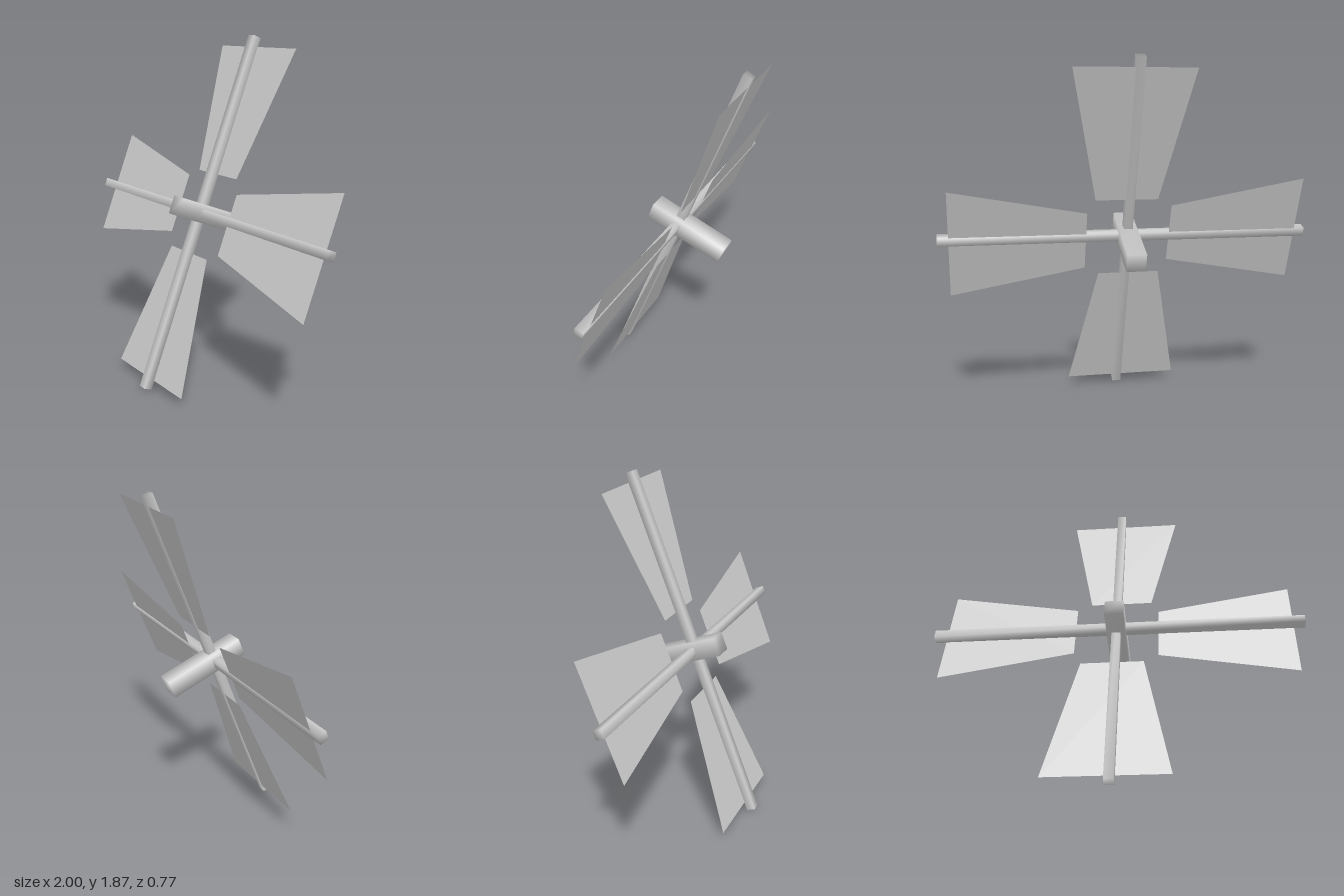
import * as THREE from 'three';
import { mergeVertices } from 'three/addons/utils/BufferGeometryUtils.js';

const TILT = THREE.MathUtils.degToRad(-21.3);

// Box whose corners share averaged normals, for soft shading
function softBox(w, h, d) {
  const box = new THREE.BoxGeometry(w, h, d);
  box.deleteAttribute('normal');
  box.deleteAttribute('uv');
  const geometry = mergeVertices(box);
  geometry.computeVertexNormals();
  return geometry;
}

export function createModel() {
  const grey = new THREE.MeshStandardMaterial({ color: 0xcccccc });
  const sheet = new THREE.MeshStandardMaterial({ color: 0xcccccc, side: THREE.DoubleSide });

  const model = new THREE.Group();
  model.name = 'windmillRotor';
  const rotor = new THREE.Group();
  rotor.name = 'rotor';
  rotor.position.y = 0.934;
  rotor.rotation.x = TILT;
  model.add(rotor);

  const add = (name, geometry, material) => {
    const mesh = new THREE.Mesh(geometry, material);
    mesh.name = name;
    rotor.add(mesh);
    return mesh;
  };

  // Axle block, longer behind the spars than in front
  add('axle', softBox(0.1, 0.1, 0.45), grey).position.z = -0.065;

  // Two crossing spars
  add('horizontalSpar', softBox(2, 0.048, 0.048), grey);
  add('verticalSpar', softBox(0.048, 1.985, 0.048), grey);

  // Four tapered sails, slightly wider on the clockwise side
  const outline = new THREE.Shape([
    new THREE.Vector2(-0.148, 0.225),
    new THREE.Vector2(0.185, 0.225),
    new THREE.Vector2(0.332, 0.942),
    new THREE.Vector2(-0.288, 0.942),
  ]);
  const sailGeometry = new THREE.ShapeGeometry(outline);
  ['topSail', 'leftSail', 'bottomSail', 'rightSail'].forEach((name, i) => {
    const sail = add(name, sailGeometry, sheet);
    sail.position.z = -0.022;
    sail.rotation.z = -i * Math.PI / 2;
  });

  return model;
}
